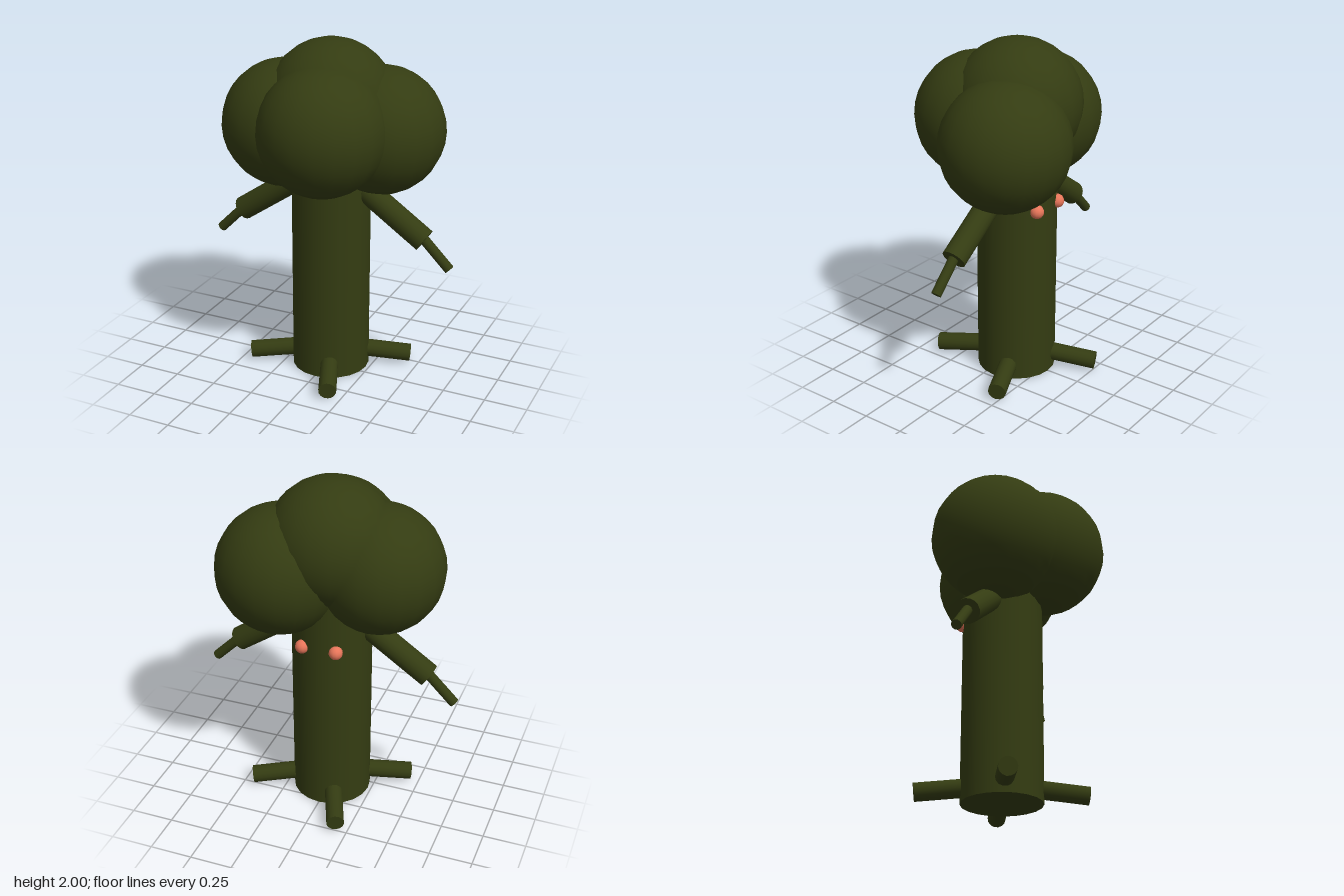
import * as THREE from 'three';

const AXIS_Z = -0.06; // the trunk stands slightly behind the centre

export function createModel() {
  const model = new THREE.Group();
  model.name = 'treeCreature';
  const olive = new THREE.MeshStandardMaterial({ name: 'darkOlive', color: 0x343c12 });
  const coral = new THREE.MeshStandardMaterial({ name: 'coral', color: 0xe8765a });

  const add = (name, geometry, material, x, y, z) => {
    const mesh = new THREE.Mesh(geometry, material);
    mesh.name = name;
    mesh.position.set(x, y, z);
    model.add(mesh);
    return mesh;
  };

  // Straight round limb between two points
  const limb = (name, from, to, radius, sides) => {
    const a = new THREE.Vector3(...from);
    const b = new THREE.Vector3(...to);
    const dir = b.clone().sub(a);
    const mid = a.clone().add(b).multiplyScalar(0.5);
    const mesh = add(name, new THREE.CylinderGeometry(radius, radius, dir.length(), sides), olive, mid.x, mid.y, mid.z);
    mesh.quaternion.setFromUnitVectors(new THREE.Vector3(0, 1, 0), dir.normalize());
  };

  // Trunk
  add('trunk', new THREE.CylinderGeometry(0.23, 0.23, 1.4, 20), olive, 0, 0.7, AXIS_Z);

  // Crown of four overlapping balls
  const ball = new THREE.SphereGeometry(0.368, 20, 16);
  add('crownTop', ball, olive, 0, 1.632, AXIS_Z);
  add('crownFront', ball, olive, 0.05, 1.53, 0.165);
  add('crownRight', ball, olive, -0.263, 1.495, -0.015);
  add('crownLeft', ball, olive, 0.26, 1.475, -0.17);

  // Arms and eyes, mirrored
  for (const [side, s] of [['left', 1], ['right', -1]]) {
    limb(side + 'Branch', [s * 0.12, 1.21, AXIS_Z], [s * 0.58, 0.895, AXIS_Z], 0.07, 16);
    limb(side + 'Twig', [s * 0.54, 0.94, AXIS_Z], [s * 0.735, 0.745, AXIS_Z], 0.029, 12);
    add(side + 'Eye', new THREE.SphereGeometry(0.04, 12, 10), coral, s * 0.1, 1.06, -0.27);
  }

  // Four roots, a quarter turn apart
  for (let i = 0; i < 4; i++) {
    const angle = Math.PI * (0.375 + i * 0.5);
    const at = (r, y) => [Math.cos(angle) * r, y, AXIS_Z + Math.sin(angle) * r];
    limb('root' + (i + 1), at(0.15, 0.093), at(0.48, 0.058), 0.052, 14);
  }

  return model;
}
